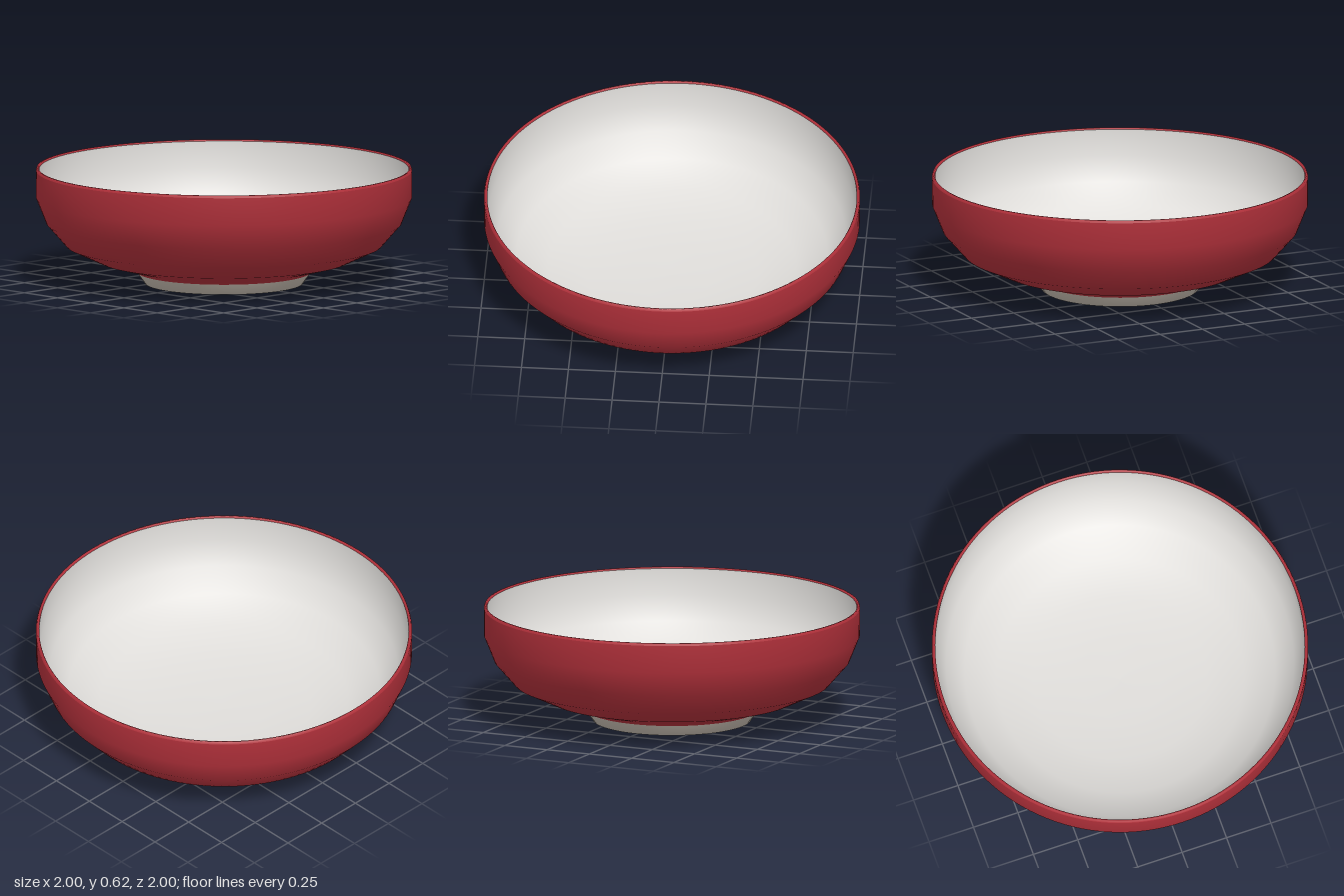
import * as THREE from 'three';

const SEGMENTS = 128;

function material(name, color) {
  const m = new THREE.MeshStandardMaterial({ color });
  m.name = name;
  return m;
}

// Profiles run from the underside outward, up the wall, over the rim and down inside.
function turned(name, profile, mat) {
  const points = profile.map(([r, y]) => new THREE.Vector2(r, y));
  const mesh = new THREE.Mesh(new THREE.LatheGeometry(points, SEGMENTS), mat);
  mesh.name = name;
  return mesh;
}

export function createModel() {
  const red = material('red glaze', 0xb0303a);
  const white = material('white glaze', 0xe0dedb);
  const clay = material('bare clay', 0xc4baae);

  const bowl = new THREE.Group();
  bowl.name = 'bowl';

  bowl.add(
    // Glazed disc in the recess under the foot
    turned('footDisc', [[0, 0.03], [0.21, 0.03]], white),

    // Foot ring: recess, standing edge and flared side
    turned('footRecess', [[0.21, 0.03], [0.28, 0.028], [0.335, 0.018], [0.37, 0]], clay),
    turned('footRing', [[0.37, 0], [0.42, 0], [0.462, 0.06]], clay),

    // Outer wall
    turned('outerWall', [
      [0.462, 0.06], [0.485, 0.077], [0.67, 0.125], [0.84, 0.205],
      [0.945, 0.325], [0.999, 0.46], [1, 0.607],
    ], red),

    // Rim
    turned('rim', [[1, 0.607], [0.995, 0.62], [0.987, 0.62], [0.982, 0.612]], red),

    // Inside of the bowl
    turned('innerWall', [
      [0.982, 0.612], [0.979, 0.47], [0.925, 0.34], [0.825, 0.226],
      [0.66, 0.147], [0.46, 0.104], [0.22, 0.088], [0, 0.085],
    ], white),
  );

  return bowl;
}
